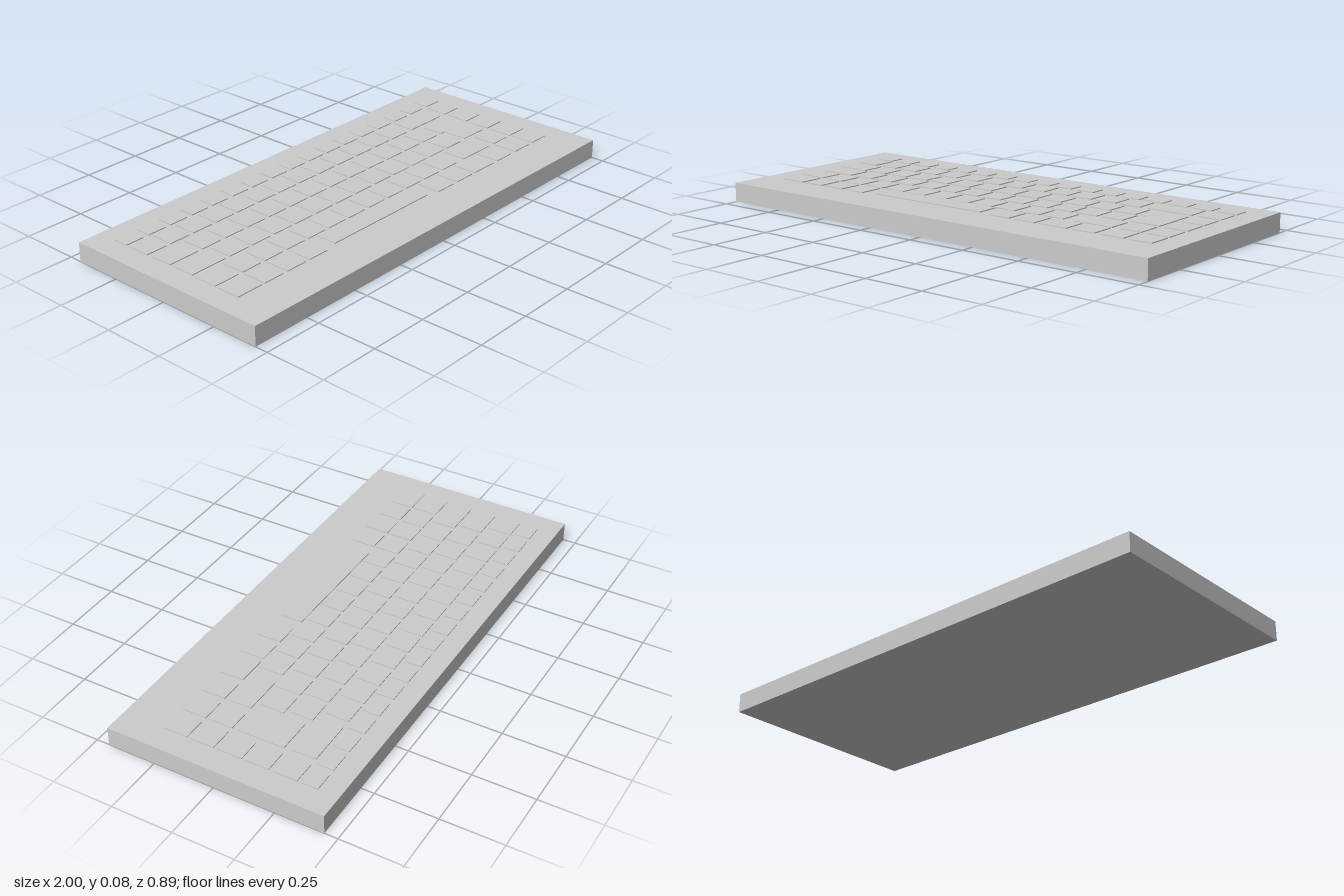
import * as THREE from 'three';

const CASE_H = 0.079, KEY_H = 0.004, DEPTH = 0.894;
const SINK = 0.01; // how far each key reaches into the case

// Each row: back and front z, then runs of keys [left x, width, count, pitch]
const NAV = [0.807, 0.094];
const ROWS = [
  { name: 'functionKey', z: [-0.364, -0.297], runs: [[-0.904, 0.082, 17, 0.1077]] },
  { name: 'numberKey', z: [-0.282, -0.186], runs: [[-0.904, 0.094, 13, 0.1132], [0.583, 0.193], NAV] },
  { name: 'upperLetterKey', z: [-0.167, -0.07], runs: [[-0.901, 0.136], [-0.743, 0.093, 12, 0.1142], NAV] },
  { name: 'homeLetterKey', z: [-0.056, 0.043], runs: [[-0.901, 0.163], [-0.717, 0.094, 12, 0.1133], NAV] },
  { name: 'lowerLetterKey', z: [0.06, 0.16], runs: [[-0.904, 0.114], [-0.77, 0.091, 11, 0.1123], [0.492, 0.167], [0.695, 0.088], NAV] },
  { name: 'bottomKey', z: [0.172, 0.273], runs: [[-0.904, 0.114], [-0.775, 0.093, 3, 0.114], [0.187, 0.093, 2, 0.118], [0.417, 0.123], [0.567, 0.094, 2, 0.123], NAV] },
  { name: 'spaceBar', z: [0.166, 0.258], runs: [[-0.396, 0.529]] },
];

export function createModel() {
  const group = new THREE.Group();
  const material = new THREE.MeshStandardMaterial({ color: 0xcccccc, flatShading: true });

  function add(parent, name, geometry, x, y, z) {
    const mesh = new THREE.Mesh(geometry, material);
    mesh.name = name;
    mesh.position.set(x, y, z);
    parent.add(mesh);
    return mesh;
  }

  // Flat slab case
  add(group, 'case', new THREE.BoxGeometry(2, CASE_H, DEPTH), 0, CASE_H / 2, 0);

  // Rows of thin keys standing slightly proud of the case
  const keys = new THREE.Group();
  keys.name = 'keys';
  group.add(keys);
  const height = KEY_H + SINK;
  const y = CASE_H + KEY_H - height / 2;
  for (const { name, z: [back, front], runs } of ROWS) {
    for (const [left, width, count = 1, pitch = 0] of runs) {
      const geometry = new THREE.BoxGeometry(width, height, front - back);
      for (let i = 0; i < count; i++) {
        add(keys, name, geometry, left + i * pitch + width / 2, y, (back + front) / 2);
      }
    }
  }

  // Stepped enter key spanning two rows (shape y is -z)
  const outline = [[0.631, 0.155], [0.631, 0.068], [0.657, 0.068], [0.657, -0.038], [0.781, -0.038], [0.781, 0.155]];
  const shape = new THREE.Shape(outline.map(([px, py]) => new THREE.Vector2(px, py)));
  const enter = new THREE.ExtrudeGeometry(shape, { depth: height, bevelEnabled: false });
  enter.rotateX(-Math.PI / 2);
  add(keys, 'enterKey', enter, 0, CASE_H - SINK, 0);

  return group;
}
